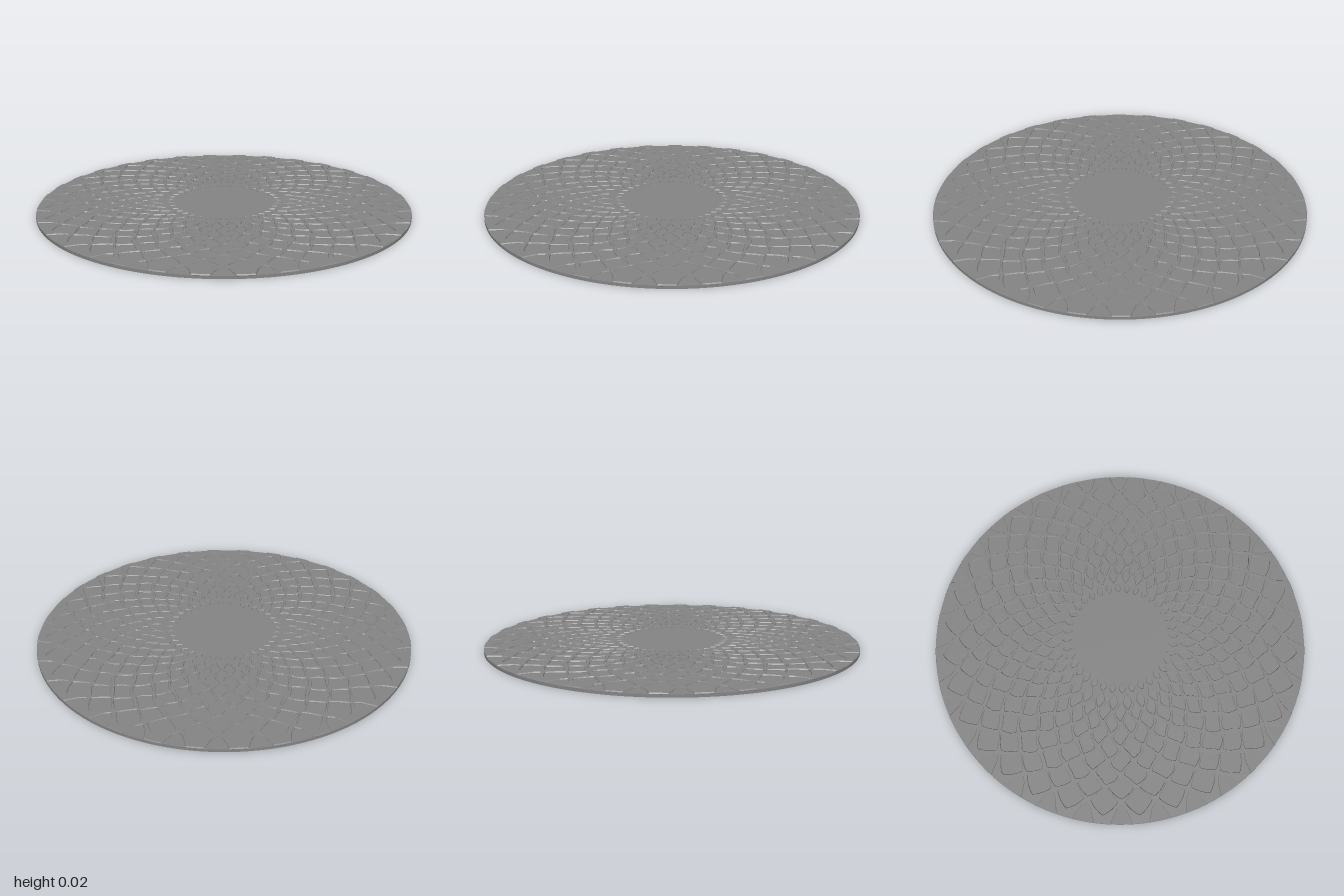
import * as THREE from 'three';

const COUNT = 32;              // cells around each ring
const STEP = Math.PI / COUNT;  // half the angle of one cell
const BASE = 0.015, TOP = 0.021, SLOPE = 0.005;

const polar = (r, a) => new THREE.Vector2(r * Math.sin(a), r * Math.cos(a));

// Rounded diamond opening at radius r and angle a, bent into an S by wiggle
function cell(r, a, halfWidth, halfHeight, wiggle) {
  const pts = [], power = 2 / 1.2;
  for (let i = 0; i < 16; i++) {
    const t = (i / 16) * Math.PI * 2;
    const c = Math.cos(t), s = Math.sin(t);
    const u = Math.sign(c) * Math.abs(c) ** power;
    const v = Math.sign(s) * Math.abs(s) ** power;
    const bend = wiggle * Math.sin(Math.PI * v);
    pts.push(polar(r + v * halfHeight, a + (u + bend) * halfWidth / r));
  }
  return new THREE.Path(pts);
}

// Disc outline with open V notches around the rim
function rimOutline() {
  const pts = [];
  for (let i = 0; i < COUNT; i++) {
    const a = i * 2 * STEP, land = STEP - 0.055;
    for (let k = -2; k <= 2; k++) pts.push(polar(1, a + land * k / 2));
    pts.push(polar(0.93, a + STEP - 0.026), polar(0.907, a + STEP), polar(0.93, a + STEP + 0.026));
  }
  return new THREE.Shape(pts);
}

export function createModel() {
  const model = new THREE.Group();
  const material = new THREE.MeshStandardMaterial({ color: 0x868686 });

  // Thin solid backing disc
  const base = new THREE.Mesh(new THREE.CylinderGeometry(1, 1, BASE, 128), material);
  base.name = 'baseDisc';
  base.position.y = BASE / 2;
  model.add(base);

  // Raised lattice: staggered rings of cells, taller than wide towards the centre
  const shape = rimOutline();
  const radii = [0.89, 0.82, 0.75, 0.68, 0.61, 0.545, 0.48, 0.42, 0.365];
  radii.forEach((r, row) => {
    const margin = 0.011 + 0.01 * r;
    const halfHeight = (row ? radii[row - 1] - r : 0.085) - margin * 0.9;
    const wiggle = row > 1 && row < 8 ? (row % 2 ? 0.2 : -0.2) : 0;
    for (let i = 0; i < COUNT; i++) {
      shape.holes.push(cell(r, (2 * i + (row % 2)) * STEP, r * STEP - margin, halfHeight, wiggle));
    }
  });

  // Innermost ring of small leaf openings
  for (let i = 0; i < 36; i++) shape.holes.push(cell(0.29, (i + 0.5) * Math.PI / 18, 0.015, 0.025, 0));

  // Sloped walls; the lower slope is sunk into the backing disc
  const relief = new THREE.ExtrudeGeometry(shape, {
    depth: 0.003, bevelThickness: SLOPE, bevelSize: 0.003, bevelOffset: -0.003, bevelSegments: 1,
  });
  relief.rotateX(-Math.PI / 2);
  const lattice = new THREE.Mesh(relief, material);
  lattice.name = 'raisedLattice';
  lattice.position.y = TOP - SLOPE - 0.003;
  model.add(lattice);

  return model;
}
